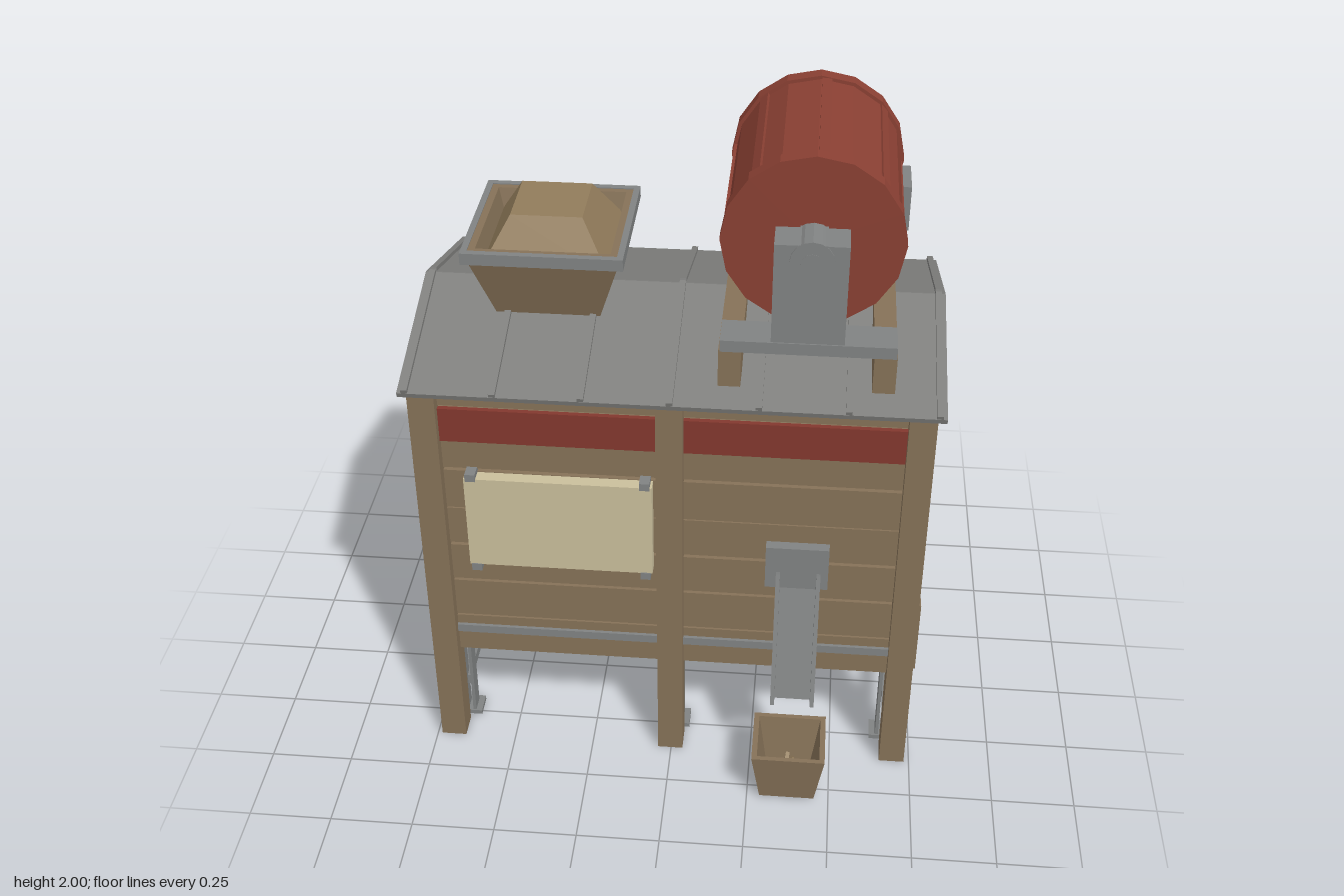
import * as THREE from 'three';

const ZC = -0.07; // body centre line in z
const mat = (name, color) => { const m = new THREE.MeshStandardMaterial({ color }); m.name = name; return m; };

export function createModel() {
  const root = new THREE.Group();
  root.name = 'dryingShed';
  const wood = mat('weathered wood', 0x867258), steel = mat('grey steel', 0x818383);
  const roofing = mat('roof metal', 0x80807e), red = mat('red paint', 0x8a4033);
  const stripe = mat('dark red boards', 0x83382e), cream = mat('cream panel', 0xcabf9c);
  const dark = mat('dark floor', 0x2e2123), grain = mat('grain', 0x927c5b);

  const add = (name, geo, m, x = 0, y = 0, z = 0, parent = root) => {
    const g = geo.index ? geo.toNonIndexed() : geo;
    g.computeVertexNormals();
    const mesh = new THREE.Mesh(g, m);
    mesh.name = name;
    mesh.position.set(x, y, z);
    parent.add(mesh);
    return mesh;
  };
  // box from its min and max corners
  const box = (name, m, x0, x1, y0, y1, z0, z1, parent) => add(name,
    new THREE.BoxGeometry(x1 - x0, y1 - y0, z1 - z0), m, (x0 + x1) / 2, (y0 + y1) / 2, (z0 + z1) / 2, parent);
  // four-sided lathe: profile of [half width, y]
  const square = (name, m, pts, x, z, depth = 1) => {
    const p = pts.map(([r, y]) => new THREE.Vector2(r * Math.SQRT2, y));
    const geo = new THREE.LatheGeometry(p, 4, Math.PI / 4);
    geo.scale(1, 1, depth);
    return add(name, geo, m, x, 0, z);
  };
  // cylinder lying along z
  const drumZ = (name, m, r, z0, z1, x, y, n = 16) => {
    const geo = new THREE.CylinderGeometry(r, r, z1 - z0, n);
    geo.rotateX(Math.PI / 2);
    return add(name, geo, m, x, y, (z0 + z1) / 2);
  };
  // straight bar between two points
  const bar = (name, m, a, b, w, d) => {
    const A = new THREE.Vector3(...a), B = new THREE.Vector3(...b);
    const mesh = add(name, new THREE.BoxGeometry(w, A.distanceTo(B), d), m);
    mesh.position.copy(A).add(B).multiplyScalar(0.5);
    mesh.quaternion.setFromUnitVectors(new THREE.Vector3(0, 1, 0), B.sub(A).normalize());
    return mesh;
  };
  // box placed at a distance range from the centre line, on side s
  const sideBox = (name, m, x0, x1, y0, y1, d0, d1, s) =>
    box(name, m, x0, x1, y0, y1, ZC + Math.min(s * d0, s * d1), ZC + Math.max(s * d0, s * d1));

  // long walls: posts, planks, sill, rail and red boards
  const planks = [[0.34, 0.474], [0.48, 0.612], [0.621, 0.748], [0.758, 0.885], [0.889, 1.022], [1.032, 1.165],
    [1.168, 1.238], [1.246, 1.297]];
  for (const s of [1, -1]) {
    for (const x of [-0.6975, -0.0025, 0.6955])
      sideBox('post', wood, x - 0.0385, x + 0.0385, 0, 1.308, 0.353, 0.43, s);
    for (const [a, b] of planks) sideBox('wallPlank', wood, -0.69, 0.69, a, b, 0.365, 0.395, s);
    sideBox('sillBoard', wood, -0.745, 0.745, 0.34, 0.59, 0.335, 0.37, s);
    sideBox('steelRail', steel, -0.66, 0.657, 0.415, 0.442, 0.365, 0.405, s);
    for (const [a, b] of [[-0.66, -0.04], [0.035, 0.657]])
      sideBox('redBoard', stripe, a, b, 1.13, 1.24, 0.39, 0.405, s);
  }

  // gable ends with a steel lip
  const gable = new THREE.Shape([[0.335, 0.9], [0.335, 1.313], [-0.07, 1.436], [-0.475, 1.313], [-0.475, 0.9]]
    .map(([z, y]) => new THREE.Vector2(z, y)));
  for (const s of [1, -1]) {
    const geo = new THREE.ExtrudeGeometry(gable, { depth: 0.03, bevelEnabled: false });
    geo.rotateY(-Math.PI / 2);
    add('gablePanel', geo, wood, s * 0.712 + 0.015);
    box('gableLip', steel, s * 0.705 - 0.03, s * 0.705 + 0.03, 0.877, 0.91, -0.423, 0.283);
    box('floorEndRail', steel, s * 0.695 - 0.02, s * 0.695 + 0.02, 0.36, 0.4, -0.405, 0.265);
  }

  // floor slats with shallow grooves
  box('floorBase', dark, -0.715, 0.715, 0.4, 0.44, -0.405, 0.265);
  box('floorUnderside', dark, -0.69, 0.69, 0.352, 0.4, -0.405, 0.265);
  for (let i = 0; i < 5; i++)
    box('floorSlat', dark, -0.72, 0.72, 0.402, 0.45, -0.405 + i * 0.135, -0.405 + i * 0.135 + 0.13);

  // steel underframes with I-section legs
  for (const x of [-0.675, 0, 0.675]) {
    for (const z of [0.235, -0.375]) {
      box('frameFoot', steel, x - 0.05, x + 0.05, 0, 0.015, z - 0.04, z + 0.03);
      box('legWeb', steel, x - 0.006, x + 0.006, 0.015, 0.355, z - 0.025, z + 0.025);
      for (const s of [1, -1])
        box('legFlange', steel, x + s * 0.026 - 0.005, x + s * 0.026 + 0.005, 0.015, 0.355, z - 0.025, z + 0.025);
    }
    box('frameCrossbar', steel, x - 0.015, x + 0.015, 0.105, 0.14, -0.375, 0.235);
  }

  // pitched roof with standing seams
  const pitch = Math.atan2(0.135, 0.445);
  for (const s of [1, -1]) {
    const half = new THREE.Group();
    half.name = s > 0 ? 'frontRoof' : 'backRoof';
    half.position.set(0, 1.375, ZC + s * 0.2225);
    half.rotation.x = s * pitch;
    root.add(half);
    box('roofSheet', roofing, -0.758, 0.757, -0.009, 0.007, -0.233, 0.233, half);
    for (let i = -3; i <= 3; i++)
      box('roofSeam', roofing, i * 0.2455 - 0.009, i * 0.2455 + 0.009, 0, 0.019, -0.232, 0.232, half);
  }

  // hopper with steel rim and heaped grain
  const hx = -0.375, hz = -0.076;
  square('hopper', wood, [[0, 1.41], [0.15, 1.41], [0.221, 1.634], [0.19, 1.634], [0.17, 1.55], [0, 1.55]], hx, hz);
  square('grainHeap', grain, [[0.183, 1.563], [0.102, 1.7], [0, 1.7]], hx, hz, 1.04);
  for (const s of [1, -1]) {
    box('hopperRim', steel, hx - 0.228, hx + 0.228, 1.602, 1.637, hz + s * 0.219 - 0.01, hz + s * 0.219 + 0.01);
    box('hopperRimEnd', steel, hx + s * 0.219 - 0.009, hx + s * 0.219 + 0.009, 1.602, 1.637, hz - 0.21, hz + 0.21);
  }

  // rotating drum: body, end bands, cleats and shaft
  const dx = 0.371, dy = 1.75;
  drumZ('drumBody', red, 0.24, -0.345, 0.205, dx, dy);
  for (const [a, b] of [[-0.357, -0.312], [0.17, 0.215]]) drumZ('drumBand', red, 0.25, a, b, dx, dy);
  for (let i = 0; i < 8; i++) {
    const t = i * Math.PI / 4 - 0.07;
    const cleat = add('drumCleat', new THREE.BoxGeometry(0.016, 0.028, 0.49), red,
      dx + Math.cos(t) * 0.236, dy + Math.sin(t) * 0.236, ZC);
    cleat.rotation.z = t;
  }
  drumZ('shaft', steel, 0.03, -0.49, 0.336, dx, dy, 12);

  // drum cradle: beams, plates and bearing posts
  for (const x of [0.16, 0.581]) box('cradleBeam', wood, x - 0.031, x + 0.031, 1.357, 1.472, -0.467, 0.327);
  for (const [a, b] of [[0.225, 0.335], [-0.48, -0.37]]) {
    box('bearingPlate', steel, 0.133, 0.61, 1.472, 1.507, a, b);
    box('bearingPost', steel, 0.27, 0.468, 1.5, 1.802, a + 0.004, b - 0.004);
    box('bearingBlock', steel, 0.335, 0.41, 1.7, 1.805, a, b);
    drumZ('bearingCap', steel, 0.06, a, b, dx, 1.755, 16);
  }

  // motor box and drive arm
  box('motorBox', steel, 0.485, 0.656, 1.475, 1.62, -0.547, -0.4);
  bar('driveArm', steel, [0.37, 1.75, -0.495], [0.57, 1.55, -0.56], 0.025, 0.026);

  // cream panel with clips
  box('noticePanel', cream, -0.595, -0.052, 0.71, 1.02, 0.32, 0.363);
  for (const x of [-0.575, -0.073]) for (const y of [0.7, 1.025])
    box('panelClip', steel, x - 0.015, x + 0.015, y - 0.012, y + 0.012, 0.315, 0.366);

  // discharge chute
  box('chutePlate', steel, 0.278, 0.462, 0.68, 0.825, 0.32, 0.357);
  bar('chuteFloor', steel, [0.375, 0.735, 0.33], [0.375, 0.332, 0.452], 0.13, 0.012);
  for (const x of [0.316, 0.434])
    bar('chuteSide', steel, [x, 0.735, 0.348], [x, 0.332, 0.47], 0.012, 0.055);

  // bucket with a few scraps inside
  square('bucket', wood, [[0, 0.008], [0.083, 0.008], [0.11, 0.185], [0.094, 0.185], [0.07, 0.03], [0, 0.03]],
    0.372, 0.472, 0.91);
  for (const [a, b, c, d] of [[0.32, 0.5, 0.39, 0.47], [0.36, 0.53, 0.37, 0.45], [0.35, 0.48, 0.42, 0.51]])
    bar('scrap', grain, [a, 0.06, b], [c, 0.1, d], 0.012, 0.012);

  return root;
}
